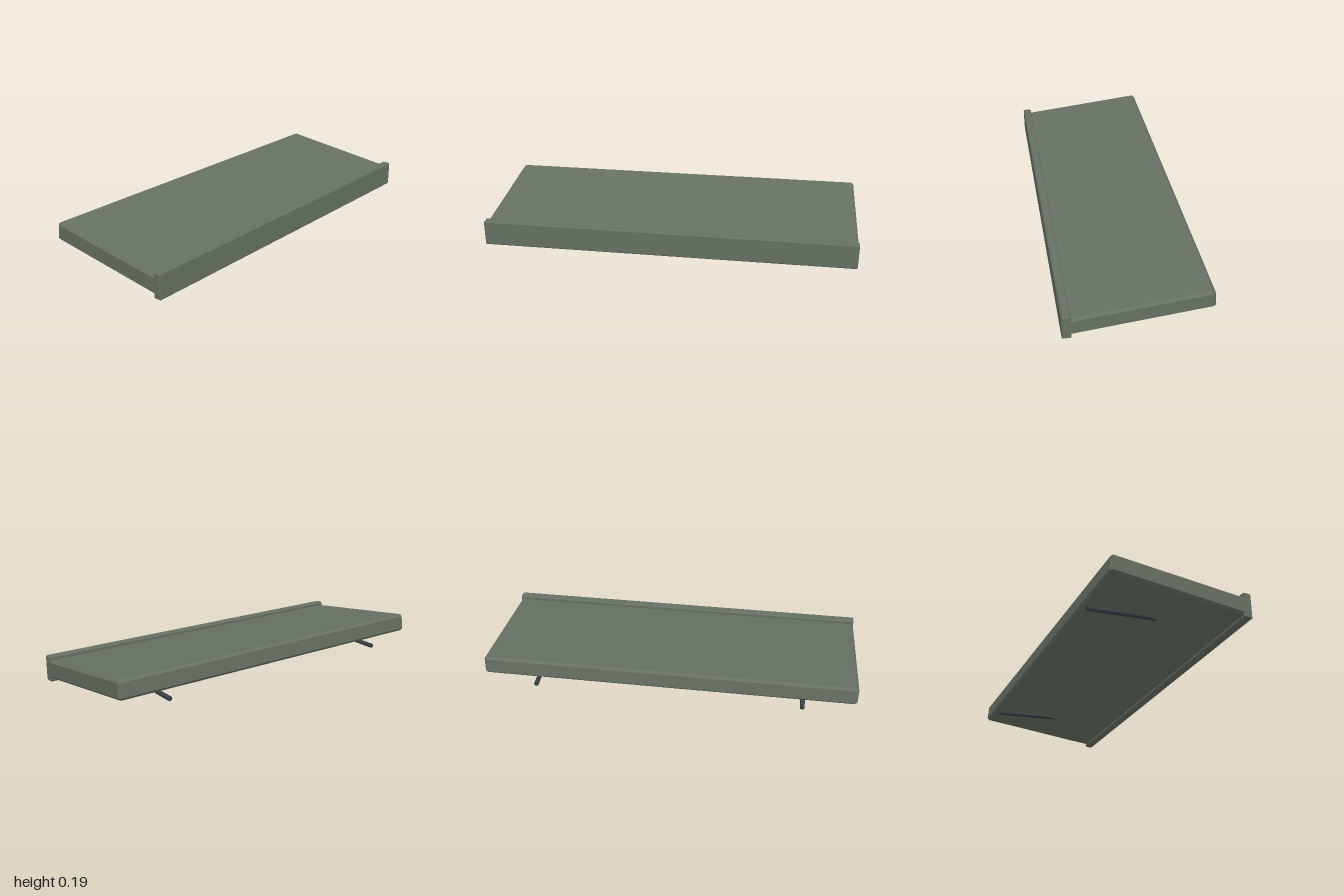
import * as THREE from 'three';
import { ConvexGeometry } from 'three/addons/geometries/ConvexGeometry.js';

// Box with every edge and corner cut by a chamfer c
function chamferBox(w, h, d, c) {
  const points = [];
  for (const sx of [-1, 1]) for (const sy of [-1, 1]) for (const sz of [-1, 1]) {
    const [x, y, z] = [w / 2, h / 2, d / 2];
    points.push(
      new THREE.Vector3(sx * x, sy * (y - c), sz * (z - c)),
      new THREE.Vector3(sx * (x - c), sy * y, sz * (z - c)),
      new THREE.Vector3(sx * (x - c), sy * (y - c), sz * z));
  }
  return new ConvexGeometry(points);
}

export function createModel() {
  const group = new THREE.Group();
  const panelMat = new THREE.MeshStandardMaterial({ color: 0x667063 });
  const rodMat = new THREE.MeshStandardMaterial({ color: 0x394047 });

  function add(name, geometry, material, x, y, z, tilt = 0) {
    const mesh = new THREE.Mesh(geometry, material);
    mesh.name = name;
    mesh.position.set(x, y, z);
    mesh.rotation.x = tilt;
    group.add(mesh);
  }

  // Sloping board, rising towards the back
  add('board', chamferBox(1.998, 0.0985, 0.72, 0.012), panelMat, 0, 0.1015, -0.0095, 0.1015);

  // Upright strip along the front edge
  add('frontLip', chamferBox(2, 0.138, 0.046, 0.006), panelMat, 0, 0.069, 0.349);

  // Two support rods leaving the underside towards the back
  const rodTilt = -0.066;
  const rodLength = 0.5;
  const rod = new THREE.CylinderGeometry(0.0125, 0.0125, rodLength, 12).rotateX(Math.PI / 2);
  const midZ = -0.37 + rodLength / 2 * Math.cos(rodTilt);
  const midY = 0.0385 - rodLength / 2 * Math.sin(rodTilt);
  for (const side of [-1, 1]) {
    add(side > 0 ? 'leftRod' : 'rightRod', rod, rodMat, side * 0.72, midY, midZ, rodTilt);
  }

  return group;
}
